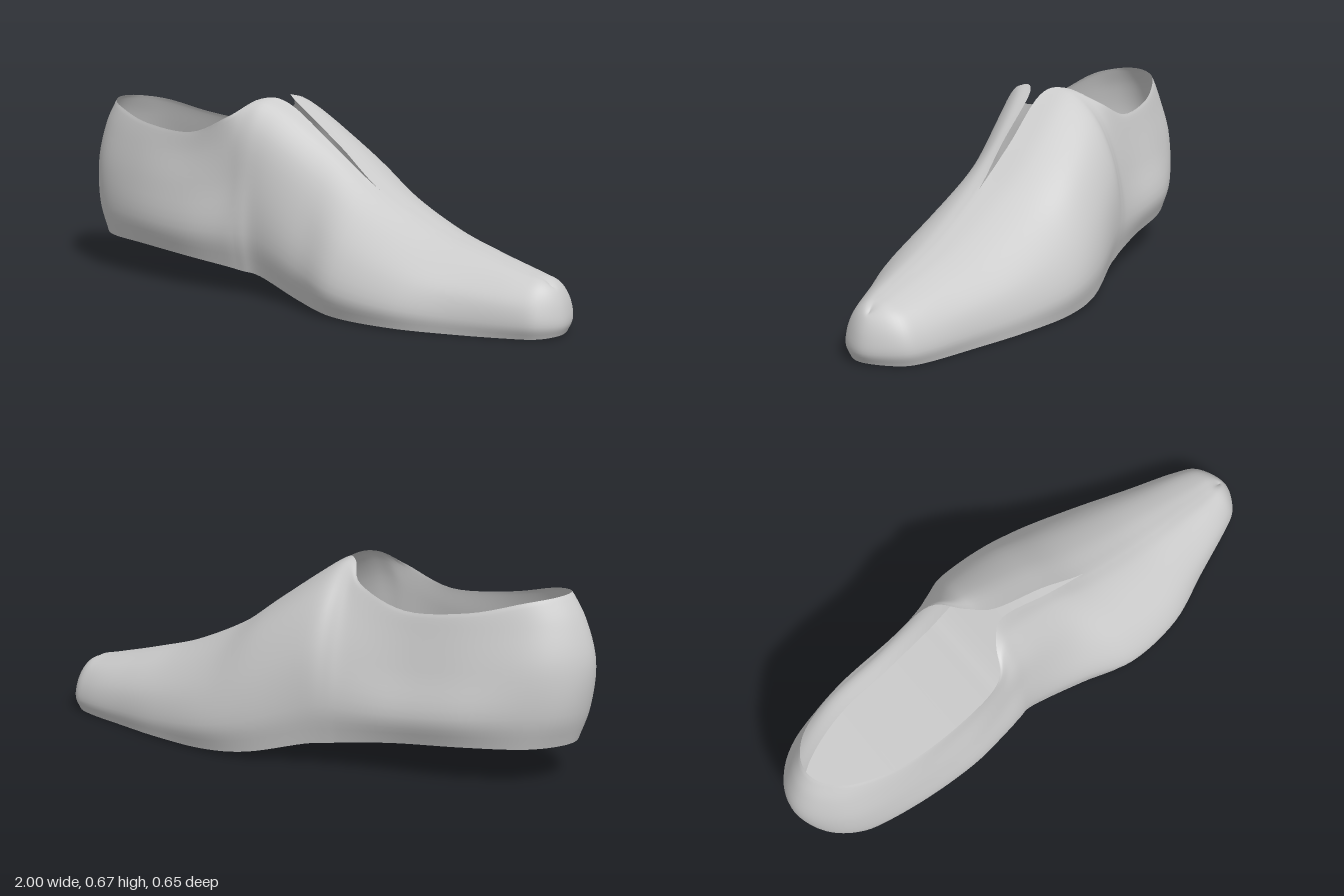
import * as THREE from 'three';
import { mergeVertices } from 'three/addons/utils/BufferGeometryUtils.js';

// Stations from heel to toe: [x, sole height, top edge height]
const STATIONS = [
  [-1, 0.13, 0.62], [-0.96, 0.13, 0.615], [-0.85, 0.128, 0.6], [-0.65, 0.125, 0.56],
  [-0.42, 0.112, 0.547], [-0.25, 0.095, 0.615], [-0.18, 0.085, 0.672], [-0.1, 0.075, 0.655],
  [0.1, 0.028, 0.52], [0.28, 0.01, 0.395], [0.5, 0.006, 0.295], [0.7, 0.002, 0.24],
  [0.88, 0.002, 0.2], [0.96, 0.004, 0.185], [1, 0.008, 0.16],
];
// Side positions (z) at six levels, from the sole up to the collar, slit or ridge
const LEFT_WALL = [
  [0.03, 0.03, 0.03, 0.03, 0.03, 0.03],
  [0.12, 0.13, 0.12, 0.11, 0.1, 0.1],
  [0.19, 0.205, 0.2, 0.18, 0.165, 0.16],
  [0.225, 0.25, 0.24, 0.22, 0.207, 0.203],
  [0.24, 0.265, 0.245, 0.22, 0.212, 0.21],
  [0.225, 0.25, 0.225, 0.21, 0.203, 0.2],
  [0.215, 0.24, 0.22, 0.195, 0.15, 0.11],
  [0.21, 0.23, 0.215, 0.175, 0.11, 0.05],
  [0.25, 0.265, 0.22, 0.155, 0.09, 0.048],
  [0.3, 0.32, 0.27, 0.18, 0.1, 0.04],
  [0.29, 0.305, 0.265, 0.18, 0.1, 0.04],
  [0.22, 0.23, 0.21, 0.15, 0.09, 0.04],
  [0.15, 0.163, 0.155, 0.12, 0.08, 0.04],
  [0.11, 0.12, 0.11, 0.09, 0.065, 0.04],
  [0.035, 0.035, 0.035, 0.035, 0.038, 0.04],
];
const RIGHT_WALL = [
  [0.03, 0.03, 0.03, 0.03, 0.03, 0.03],
  [-0.06, -0.08, -0.07, -0.05, -0.04, -0.04],
  [-0.14, -0.16, -0.15, -0.12, -0.105, -0.1],
  [-0.2, -0.23, -0.2, -0.17, -0.155, -0.15],
  [-0.22, -0.25, -0.215, -0.185, -0.17, -0.165],
  [-0.24, -0.265, -0.235, -0.19, -0.16, -0.15],
  [-0.25, -0.275, -0.25, -0.18, -0.1, -0.05],
  [-0.265, -0.29, -0.275, -0.2, -0.09, 0.01],
  [-0.305, -0.325, -0.295, -0.215, -0.09, 0.02],
  [-0.3, -0.32, -0.28, -0.19, -0.07, 0.04],
  [-0.25, -0.26, -0.23, -0.15, -0.05, 0.04],
  [-0.18, -0.19, -0.17, -0.11, -0.03, 0.04],
  [-0.12, -0.13, -0.115, -0.075, -0.01, 0.04],
  [-0.07, -0.08, -0.07, -0.04, 0, 0.04],
  [0.035, 0.035, 0.035, 0.035, 0.038, 0.04],
];
const HEIGHT = [0, 0.22, 0.55, 0.83, 0.97, 1];            // share of the height per level
const HEEL_SHIFT = [0.05, 0.015, 0, 0.04, 0.078, 0.09];   // curve of the heel
const TOE_SHIFT = [-0.015, 0, -0.005, -0.02, -0.035, -0.05]; // curve of the toe
const SLIT_END = 0.279;
const RIDGE_Z = 0.04;
const AROUND = 28 * 6;
const UP = 24;

function levelPoint(station, wall, k) {
  const [x, low, high] = STATIONS[station];
  const shift = x < 0 ? HEEL_SHIFT[k] : TOE_SHIFT[k];
  return new THREE.Vector3(x + shift * x ** 4, low + (high - low) * HEIGHT[k], wall[station][k]);
}

// Closed loop around the shoe at one level: heel, left side, toe, right side
function levelRing(k) {
  const last = STATIONS.length - 1;
  const points = [];
  for (let s = 0; s <= last; s++) points.push(levelPoint(s, LEFT_WALL, k));
  for (let s = last - 1; s > 0; s--) points.push(levelPoint(s, RIGHT_WALL, k));
  const curve = new THREE.CatmullRomCurve3(points, true, 'catmullrom', 0.5);
  const ring = [];
  for (let i = 0; i < AROUND; i++) {
    const p = curve.getPoint(i / AROUND);
    if (k === 5 && p.x >= SLIT_END) p.z = RIDGE_Z; // both sides meet ahead of the slit
    ring.push(p);
  }
  return ring;
}

function meshFrom(name, points, index) {
  let geometry = new THREE.BufferGeometry().setFromPoints(points);
  geometry.setIndex(index);
  geometry = mergeVertices(geometry, 1e-4);
  geometry.computeVertexNormals();
  const material = new THREE.MeshStandardMaterial({ color: 0xcccccc, side: THREE.DoubleSide });
  const mesh = new THREE.Mesh(geometry, material);
  mesh.name = name;
  return mesh;
}

// Thin upper with an open collar and a slit over the instep
function buildUpper(rings) {
  const points = [];
  const index = [];
  for (let i = 0; i < AROUND; i++) {
    const section = new THREE.CatmullRomCurve3(rings.map((ring) => ring[i]));
    points.push(...section.getPoints(UP));
    const a = i * (UP + 1);
    const b = ((i + 1) % AROUND) * (UP + 1);
    for (let j = 0; j < UP; j++) {
      index.push(a + j, b + j, b + j + 1, a + j, b + j + 1, a + j + 1);
    }
  }
  return meshFrom('upper', points, index);
}

// Sole closing the bottom loop, in strips from side to side
function buildSole(ring) {
  const index = [];
  for (let i = 0; i < AROUND / 2; i++) {
    const a = i;
    const b = i + 1;
    const c = AROUND - i - 1;
    const d = (AROUND - i) % AROUND;
    if (b !== c) index.push(a, c, b);
    if (a !== d) index.push(a, d, c);
  }
  return meshFrom('sole', ring, index);
}

export function createModel() {
  const shoe = new THREE.Group();
  shoe.name = 'shoe';
  const rings = HEIGHT.map((_, k) => levelRing(k));
  shoe.add(buildUpper(rings), buildSole(rings[0]));
  return shoe;
}
